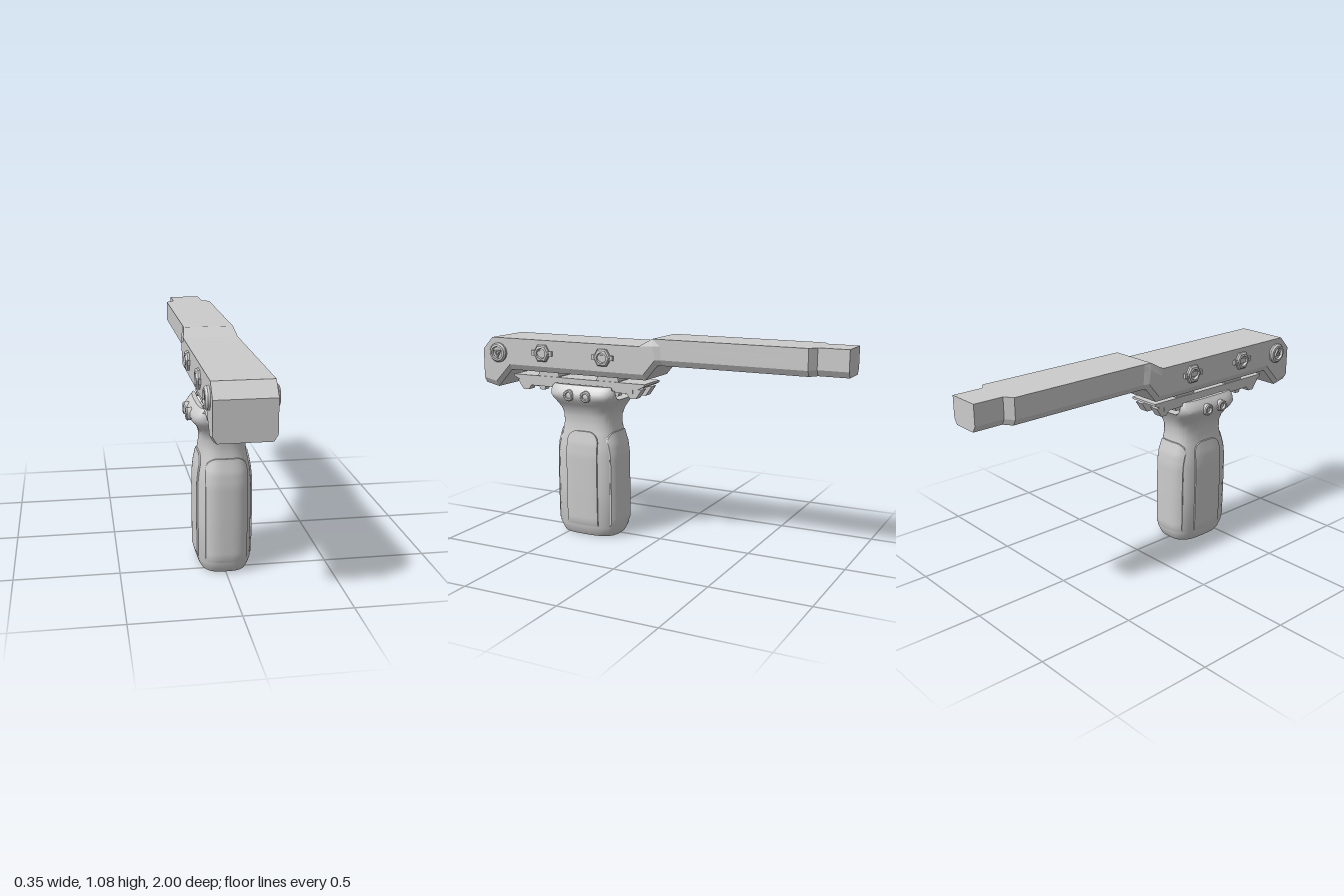
import * as THREE from 'three';
import { toCreasedNormals } from 'three/addons/utils/BufferGeometryUtils.js';

const mat = new THREE.MeshStandardMaterial({ color: 0xcccccc });
const CZ = 0.397; // grip axis

function add(parent, name, geo, x = 0, y = 0, z = 0) {
  const m = new THREE.Mesh(geo, mat);
  m.name = name;
  m.position.set(x, y, z);
  parent.add(m);
  return m;
}

// Skin a list of closed rings (each an array of [x, y, z]) and cap both ends
function loft(rings, crease) {
  const n = rings[0].length, pos = rings.flat(2), idx = [];
  for (let i = 0; i < rings.length - 1; i++) {
    for (let j = 0; j < n; j++) {
      const k = (j + 1) % n, a = i * n + j, b = i * n + k, c = a + n, d = b + n;
      idx.push(a, b, d, a, d, c);
    }
  }
  [0, rings.length - 1].forEach((r, end) => {
    const mid = [0, 1, 2].map((q) => rings[r].reduce((s, p) => s + p[q], 0) / n);
    const m = pos.length / 3;
    pos.push(...mid);
    for (let j = 0; j < n; j++) {
      const a = r * n + j, b = r * n + (j + 1) % n;
      if (end) idx.push(m, a, b); else idx.push(m, b, a);
    }
  });
  const g = new THREE.BufferGeometry();
  g.setAttribute('position', new THREE.Float32BufferAttribute(pos, 3));
  g.setIndex(idx);
  return toCreasedNormals(g, crease);
}

// Side outline given as [z, y], extruded across x
function sideExtrude(points, width) {
  const s = new THREE.Shape(points.map(([z, y]) => new THREE.Vector2(z, y)));
  const g = new THREE.ExtrudeGeometry(s, { depth: width, bevelEnabled: false });
  return g.translate(0, 0, -width / 2).rotateY(-Math.PI / 2);
}

// Turned part whose axis points along +x, profile as [radius, height]
function turned(points, segs, crease = 0.5) {
  const g = new THREE.LatheGeometry(points.map((p) => new THREE.Vector2(...p)), segs);
  return toCreasedNormals(g.rotateZ(-Math.PI / 2), crease);
}

// Chamfered beam: stations run front to back
function beam() {
  // zTop, yTop, zBottom, yBottom, half width at top, half width at sides
  const stations = [
    [1, 0.97, 1, 0.785, 0.137, 0.137],
    [0.94, 1.035, 0.92, 0.768, 0.137, 0.137],
    [0.83, 1.035, 0.83, 0.865, 0.137, 0.137],
    [0.05, 1.035, 0.02, 0.865, 0.137, 0.137],
    [-0.02, 1.075, -0.045, 0.942, 0.125, 0.135],
    [-0.06, 1.075, -0.07, 0.942, 0.125, 0.125],
    [-0.82, 1.075, -0.82, 0.942, 0.125, 0.125],
    [-0.85, 1.075, -0.85, 0.942, 0.083, 0.083],
    [-1, 1.075, -1, 0.942, 0.083, 0.083],
  ];
  return loft(stations.map(([zt, yt, zb, yb, wt, w]) => {
    const h = yt - yb, hi = yt - 0.035, lo = yb + 0.03;
    const at = (x, y) => [x, y, zb + (zt - zb) * (y - yb) / h];
    return [at(wt, yt), at(w, hi), at(w, lo), at(w - 0.018, yb),
      at(0.018 - w, yb), at(-w, lo), at(-w, hi), at(-wt, yt)];
  }), 0.02);
}

// Outer grip sections: y, half width x, half depth z, squareness
const GRIP = [
  [0, 0.11, 0.158, 3], [0.012, 0.117, 0.166, 3], [0.05, 0.13, 0.183, 3],
  [0.25, 0.132, 0.184, 3], [0.44, 0.131, 0.183, 3], [0.5, 0.125, 0.176, 3],
  [0.56, 0.113, 0.159, 3], [0.6, 0.107, 0.153, 3], [0.645, 0.107, 0.154, 3],
  [0.68, 0.116, 0.164, 3.2], [0.71, 0.135, 0.18, 3.5], [0.735, 0.155, 0.194, 3.8],
  [0.755, 0.163, 0.202, 4], [0.775, 0.16, 0.203, 4], [0.795, 0.145, 0.203, 4],
  [0.812, 0.13, 0.198, 4],
];

function gripBody() {
  const cavity = [[0.25, 0.085, 0.125, 3], [0.04, 0.094, 0.138, 3], [0, 0.098, 0.145, 3]];
  const top = [0.95, 0.9, 0.84, 0.78, 0.7, 0.6, 0.4, 0.1].map((s) => [0.812, 0.13 * s, 0.198 * s, 4]);
  return loft([...cavity, ...GRIP, ...top].map(([y, a, b, n]) => {
    const ring = [];
    for (let i = 0; i < 72; i++) {
      const t = i / 72 * Math.PI * 2, c = Math.cos(t), s = Math.sin(t);
      const x = a * Math.sign(c) * Math.abs(c) ** (2 / n);
      // channel through the top, leaving a cheek on each side
      const limit = 0.745 + 0.07 * THREE.MathUtils.smoothstep(Math.abs(x), 0.09, 0.108);
      ring.push([x, Math.min(y, limit), CZ - b * Math.sign(s) * Math.abs(s) ** (2 / n)]);
    }
    return ring;
  }), 0.6);
}

function gripRadii(y) {
  let i = 0;
  while (i < GRIP.length - 2 && GRIP[i + 1][0] < y) i++;
  const p = GRIP[i], q = GRIP[i + 1], t = (y - p[0]) / (q[0] - p[0]);
  return [p[1] + (q[1] - p[1]) * t, p[2] + (q[2] - p[2]) * t];
}

// Raised pad following the grip surface, rounded at its top corners
function gripPad(half, alongX) {
  const y0 = 0.048, y1 = 0.568, r = 0.06, rows = 30, cols = 18, pos = [], idx = [];
  for (let i = 0; i <= rows; i++) {
    const v = i / rows, y = y0 + (y1 - y0) * Math.sin(v * Math.PI / 2);
    const k = Math.max(0, y - (y1 - r));
    const w = half - r + Math.sqrt(Math.max(0, r * r - k * k));
    const [a, b] = gripRadii(y);
    for (let j = 0; j <= cols; j++) {
      const u = j === 0 ? -1 : j === cols ? 1 : -0.99 + 1.98 * (j - 1) / (cols - 2);
      const edge = i === 0 || i === rows || j === 0 || j === cols;
      const [across, out] = alongX ? [a, b] : [b, a];
      const s = u * Math.min(w, across * 0.88);
      const d = out * (1 - Math.abs(s / across) ** 3) ** (1 / 3) + (edge ? -0.003 : 0.007);
      pos.push(s, y, d);
    }
  }
  const n = cols + 1;
  for (let i = 0; i < rows; i++) {
    for (let j = 0; j < cols; j++) {
      const a = i * n + j;
      idx.push(a, a + 1, a + n + 1, a, a + n + 1, a + n);
    }
  }
  const g = new THREE.BufferGeometry();
  g.setAttribute('position', new THREE.Float32BufferAttribute(pos, 3));
  g.setIndex(idx);
  return toCreasedNormals(g, 0.6);
}

export function createModel() {
  const model = new THREE.Group();
  model.name = 'gripAssembly';
  model.position.x = 0.003;

  add(model, 'beam', beam());

  // Grip with four pads
  const grip = new THREE.Group();
  grip.name = 'grip';
  model.add(grip);
  add(grip, 'gripBody', gripBody());
  for (let i = 0; i < 4; i++) {
    const pad = add(grip, i % 2 ? 'sidePad' : 'endPad', gripPad(i % 2 ? 0.093 : 0.1, i % 2 === 0), 0, 0, CZ);
    pad.rotation.y = i * Math.PI / 2;
  }

  // Mounting rail, symmetrical about its middle
  const rail = new THREE.Group();
  rail.name = 'rail';
  model.add(rail);
  const mid = 0.443;
  add(rail, 'railPlate', sideExtrude([[0.84, 0.836], [0.84, 0.825], [0.8, 0.805], [0.086, 0.805],
    [0.046, 0.825], [0.046, 0.836]], 0.17));
  for (const s of [-1, 1]) {
    add(rail, 'railEdge', new THREE.BoxGeometry(0.014, 0.026, 0.66), s * 0.078, 0.795, mid);
    add(rail, 'spacer', sideExtrude([[-0.065, 0], [-0.05, -0.014], [0.05, -0.014], [0.065, 0],
      [0.055, 0.036], [-0.055, 0.036]], 0.16), 0, 0.84, mid + s * 0.18);
    for (const x of [-0.055, 0.055]) {
      const tooth = [[-0.055, 0.05], [-0.02, 0], [0.015, 0], [0.05, 0.05]];
      add(rail, 'railTooth', sideExtrude(tooth.map(([z, y]) => [z * s, y]), 0.05), x, 0.757, mid + s * 0.33);
      add(rail, 'smallTooth', sideExtrude([[-0.03, 0.045], [-0.014, 0], [0.014, 0], [0.03, 0.045]], 0.04),
        x, 0.762, mid + s * 0.225);
    }
    add(rail, 'crossRib', new THREE.BoxGeometry(0.15, 0.025, 0.02), 0, 0.795, mid + s * 0.29);
  }

  // Fasteners on both sides
  for (const s of [-1, 1]) {
    const place = (name, x, y, z) => {
      const g = new THREE.Group();
      g.name = name;
      g.position.set(s * x, y, z);
      if (s < 0) g.rotation.y = Math.PI;
      model.add(g);
      return g;
    };
    // Front bolt with a triangular socket key
    const bolt = place('frontBolt', 0.135, 0.955, 0.9);
    add(bolt, 'boltHead', turned([[0.052, 0], [0.052, 0.012], [0.044, 0.022], [0.033, 0.024],
      [0.031, 0.01], [0, 0.01]], 32));
    const key = add(bolt, 'boltKey', turned([[0.025, 0], [0.025, 0.02], [0.014, 0.02], [0.014, 0.011], [0, 0.011]], 3, 0.1));
    key.rotation.x = s * Math.PI / 2;
    // Hex nuts with locking ears
    for (const z of [0.62, 0.255]) {
      const nut = place('sideNut', 0.135, 0.967, z);
      add(nut, 'nutBody', turned([[0.05, 0], [0.05, 0.012], [0.042, 0.02], [0.03, 0.02]], 6, 0.1)).rotation.x = 0;
      add(nut, 'nutCore', turned([[0.034, 0], [0.034, 0.02], [0.027, 0.022], [0.024, 0.008], [0, 0.008]], 24));
      add(nut, 'nutEars', new THREE.BoxGeometry(0.02, 0.026, 0.124), 0.004, 0, 0);
    }
    // Clamp screws through the grip cheeks
    for (const z of [0.45, 0.348]) {
      const screw = place('clampScrew', s < 0 ? 0.153 : 0.146, 0.76, z);
      add(screw, 'screwHead', turned([[0.03, -0.02], [0.03, 0.018], [0.025, 0.024], [0.017, 0.024],
        [0.015, 0.012], [0, 0.012]], 20));
    }
  }
  return model;
}
